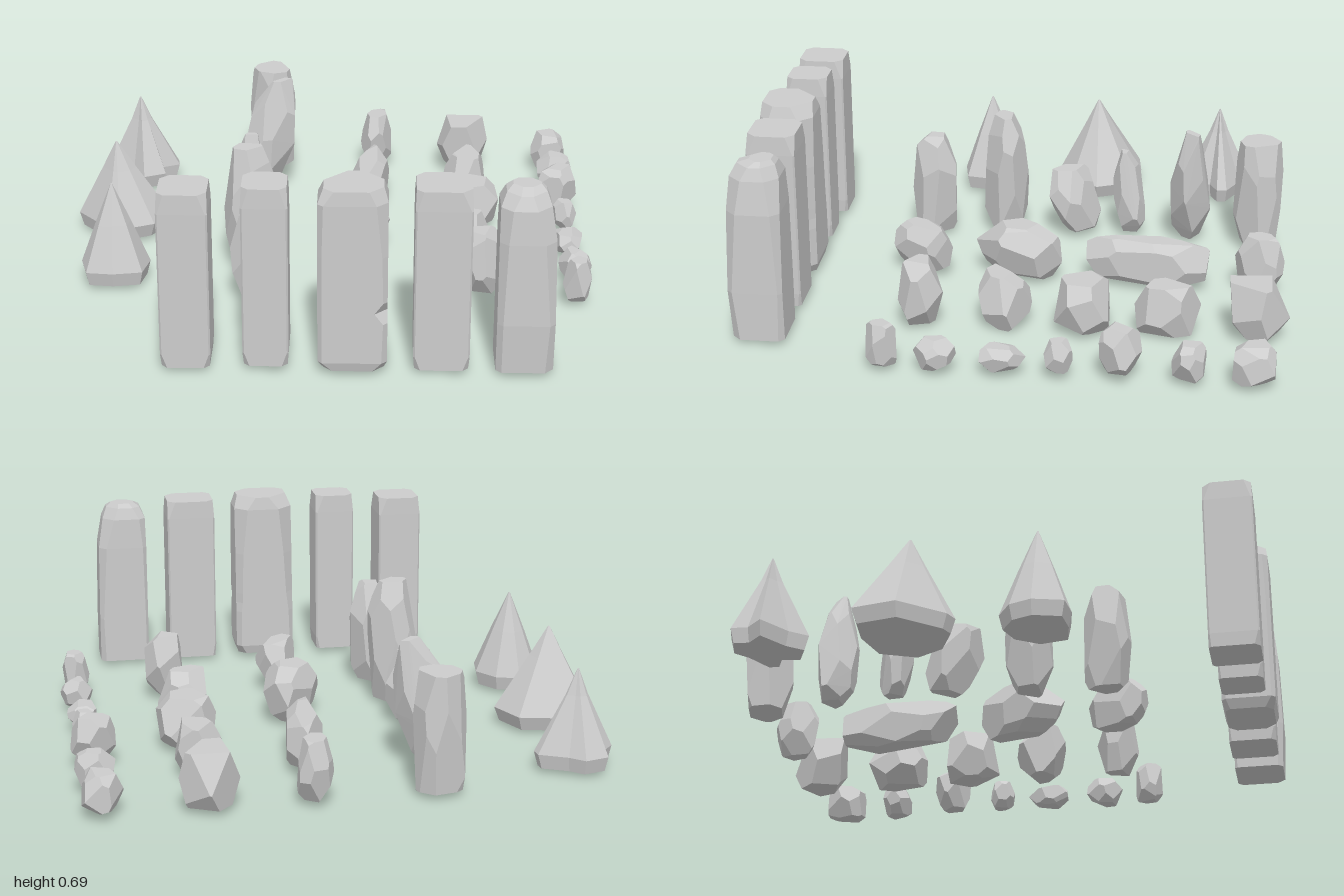
import * as THREE from 'three';
import { ConvexGeometry } from 'three/addons/geometries/ConvexGeometry.js';

const material = new THREE.MeshStandardMaterial({ color: 0xcccccc, flatShading: true });

function seeded(seed) {
  let s = seed * 7919 + 17;
  return () => (s = (s * 16807) % 2147483647) / 2147483647;
}

// Closed solid through a stack of rings (each counter-clockwise from above)
function loft(rings) {
  const out = [];
  const tri = (...p) => p.forEach((v) => out.push(...v));
  const n = rings[0].length;
  const middle = (r) => [0, 1, 2].map((k) => r.reduce((a, p) => a + p[k], 0) / n);
  const top = rings[rings.length - 1];
  for (let i = 0; i < n; i++) {
    const j = (i + 1) % n;
    for (let k = 0; k + 1 < rings.length; k++) {
      const a = rings[k], b = rings[k + 1];
      tri(a[i], a[j], b[j]);
      tri(a[i], b[j], b[i]);
    }
    tri(rings[0][j], rings[0][i], middle(rings[0]));
    tri(top[i], top[j], middle(top));
  }
  const g = new THREE.BufferGeometry();
  g.setAttribute('position', new THREE.Float32BufferAttribute(out, 3));
  g.computeVertexNormals();
  return g;
}

// Rectangle with its corners cut; cuts = front right, back right, back left, front left
function cutRect(y, x0, x1, z0, z1, [fr, br, bl, fl]) {
  return [
    [x1 - fr, y, z1], [x1, y, z1 - fr], [x1, y, z0 + br], [x1 - br, y, z0],
    [x0 + bl, y, z0], [x0, y, z0 + bl], [x0, y, z1 - fl], [x0 + fl, y, z1],
  ];
}

// Faceted boulder: a solid bounded by scattered planes, sheared, tapered, fitted to a box
function boulder(seed, [x0, x1, y0, y1, z0, z1], { planes = 17, flat = 0.88, xy = 0, zy = 0, xz = 0, taper = 0 } = {}) {
  const rand = seeded(seed);
  const cuts = [[new THREE.Vector3(0, 1, 0), flat], [new THREE.Vector3(0, -1, 0), flat]];
  for (let i = 0; i < planes; i++) {
    const y = 1 - (2 * i + 1) / planes, r = Math.sqrt(1 - y * y), a = i * 2.39996 + seed;
    const n = new THREE.Vector3(r * Math.cos(a), y, r * Math.sin(a));
    n.x += (rand() - 0.5) * 0.5;
    n.y += (rand() - 0.5) * 0.5;
    n.z += (rand() - 0.5) * 0.5;
    cuts.push([n.normalize(), 0.9 + rand() * 0.2]);
  }
  // Corners are the plane triples that lie inside every other plane
  const pts = [];
  for (let i = 0; i < cuts.length; i++)
    for (let j = 0; j < i; j++)
      for (let k = 0; k < j; k++) {
        const [a, da] = cuts[i], [b, db] = cuts[j], [c, dc] = cuts[k];
        const bc = b.clone().cross(c), det = a.dot(bc);
        if (Math.abs(det) < 1e-4) continue;
        const p = bc.multiplyScalar(da)
          .addScaledVector(c.clone().cross(a), db)
          .addScaledVector(a.clone().cross(b), dc)
          .divideScalar(det);
        if (cuts.every(([n, d]) => n.dot(p) < d + 1e-6)) pts.push(p);
      }
  for (const p of pts) {
    const s = 1 - taper * p.y;
    p.set(p.x * s + xy * p.y + xz * p.z, p.y, p.z * s + zy * p.y);
  }
  const box = new THREE.Box3().setFromPoints(pts), size = box.getSize(new THREE.Vector3());
  for (const p of pts) {
    p.sub(box.min).divide(size);
    p.set(x0 + p.x * (x1 - x0), y0 + p.y * (y1 - y0), z0 + p.z * (z1 - z0));
  }
  return new ConvexGeometry(pts);
}

export function createModel() {
  const model = new THREE.Group();
  const add = (name, geometry) => {
    const mesh = new THREE.Mesh(geometry, material);
    mesh.name = name;
    model.add(mesh);
  };

  // Standing pillars: [x0, x1, z0, z1, bottom, top, front right and back left cut at the top]
  [
    [-0.56, -0.385, 0.8, 0.98, 0.015, 0.665, 0.03, 0.03],
    [-0.275, -0.115, 0.81, 0.97, 0.02, 0.685, 0.025, 0.03],
    [0.315, 0.51, 0.8, 0.98, 0.015, 0.685, 0.035, 0.03],
  ].forEach(([x0, x1, z0, z1, b, t, f, k]) => add('pillar', loft([
    cutRect(b, x0 + 0.004, x1 - 0.004, z0, z1, [0.02, 0.012, 0.01, 0.02]),
    cutRect(b + 0.05, x0, x1, z0, z1, [0.006, 0.006, 0.006, 0.006]),
    cutRect(t - 0.07, x0, x1, z0, z1, [0.006, 0.006, 0.006, 0.006]),
    cutRect(t, x0 + 0.003, x1 - 0.003, z0 + 0.002, z1 - 0.003, [f, 0.03, k, 0.025]),
  ])));

  // Wide pillar with a chip in its front right edge
  add('chippedPillar', loft([
    cutRect(0.015, 0.005, 0.215, 0.81, 0.99, [0.04, 0.03, 0.02, 0.03]),
    cutRect(0.05, -0.015, 0.225, 0.8, 1, [0.02, 0.02, 0.015, 0.015]),
    cutRect(0.2, -0.015, 0.225, 0.8, 1, [0.015, 0.02, 0.02, 0.015]),
    cutRect(0.24, -0.015, 0.225, 0.8, 1, [0.045, 0.025, 0.025, 0.015]),
    cutRect(0.28, -0.015, 0.225, 0.8, 1, [0.015, 0.025, 0.03, 0.015]),
    cutRect(0.45, -0.015, 0.225, 0.8, 1, [0.02, 0.03, 0.04, 0.015]),
    cutRect(0.64, -0.015, 0.225, 0.8, 1, [0.04, 0.05, 0.06, 0.02]),
    cutRect(0.69, 0.005, 0.21, 0.808, 0.995, [0.05, 0.07, 0.08, 0.035]),
  ]));

  // Pillar worn to a taper on its right side
  add('wornPillar', loft([
    cutRect(0.015, 0.6, 0.8, 0.8, 0.99, [0.03, 0.02, 0.01, 0.02]),
    cutRect(0.2, 0.6, 0.8, 0.8, 1, [0.02, 0.015, 0.01, 0.02]),
    cutRect(0.5, 0.6, 0.795, 0.8, 0.995, [0.04, 0.03, 0.015, 0.03]),
    cutRect(0.62, 0.602, 0.775, 0.805, 0.985, [0.05, 0.045, 0.025, 0.04]),
    cutRect(0.665, 0.622, 0.758, 0.82, 0.96, [0.05, 0.045, 0.03, 0.045]),
    cutRect(0.682, 0.645, 0.74, 0.835, 0.915, [0.03, 0.03, 0.02, 0.03]),
  ]));

  // Pointed rocks: outline seen from above, apex [x, y, z], shoulder height and size
  const star = [[-0.8, -0.845], [-0.89, -0.82], [-0.885, -0.76], [-0.94, -0.7], [-0.83, -0.63], [-0.78, -0.57],
    [-0.695, -0.61], [-0.71, -0.68], [-0.645, -0.71], [-0.65, -0.75], [-0.75, -0.8]];
  const broad = [[-0.84, -0.385], [-0.97, -0.37], [-1, -0.21], [-0.87, -0.06], [-0.82, -0.04], [-0.69, -0.1],
    [-0.63, -0.21], [-0.69, -0.35]];
  const round = [[-0.82, 0.11], [-0.9, 0.16], [-0.93, 0.24], [-0.9, 0.35], [-0.8, 0.36], [-0.69, 0.34],
    [-0.67, 0.23], [-0.73, 0.14]];
  [
    ['jaggedPeak', star, [-0.8, 0.375, -0.71], 0.28, 0.28],
    ['broadPeak', broad, [-0.84, 0.38, -0.2], 0.27, 0.36],
    ['roundPeak', round, [-0.805, 0.392, 0.245], 0.24, 0.5],
  ].forEach(([name, outline, [ax, ay, az], sy, ss]) => {
    const ring = (y, s) => outline.map(([x, z]) => [ax + (x - ax) * s, y, az + (z - az) * s]);
    add(name, loft([ring(0.015, 0.9), ring(0.07, 1), ring(sy, ss), ring(ay, 0.02)]));
  });

  // Tall rocks
  [
    [[-0.35, -0.16, 0.02, 0.45, -0.97, -0.78], { flat: 0.6 }],
    [[-0.38, -0.15, 0.02, 0.49, -0.69, -0.53], { xy: 0.5, flat: 1, taper: 0.25 }],
    [[-0.385, -0.25, 0.02, 0.36, -0.43, -0.3], { zy: 0.25, flat: 1, taper: 0.2 }],
    [[-0.395, -0.22, 0.02, 0.28, -0.25, -0.05], { xz: 0.5, zy: 0.5 }],
    [[-0.395, -0.2, 0.015, 0.5, 0.04, 0.215], {}],
    [[-0.35, -0.18, 0.015, 0.42, 0.32, 0.5], {}],
  ].forEach(([box, shape], i) => add('tallRock', boulder(i + 1, box, { planes: 20, ...shape })));

  // Long lying rocks
  [
    [[0.12, 0.25, 0.02, 0.24, -0.98, -0.795], { xz: -0.2 }],
    [[0.075, 0.24, 0.02, 0.19, -0.7, -0.23], { xz: -0.45 }],
    [[0.005, 0.24, 0.015, 0.215, -0.14, 0.2], { xz: -0.35 }],
    [[0.04, 0.21, 0.02, 0.2, 0.28, 0.515], { xz: -0.5 }],
  ].forEach(([box, shape], i) => add('longRock', boulder(i + 11, box, { planes: 20, ...shape })));

  // Boulders
  [
    [0.445, 0.66, 0.02, 0.22, -1, -0.78],
    [0.455, 0.635, 0.01, 0.2, -0.68, -0.44],
    [0.45, 0.67, 0.015, 0.205, -0.35, -0.15],
    [0.455, 0.64, 0, 0.205, -0.065, 0.13],
    [0.51, 0.66, 0.015, 0.26, 0.25, 0.42],
  ].forEach((box, i) => add('boulder', boulder(i + 21, box, { planes: i ? 15 : 11, flat: i ? 0.88 : 0.7 })));

  // Small stones
  [
    [0.845, 0.99, 0.02, 0.16, -0.95, -0.8],
    [0.855, 1, 0.025, 0.155, -0.71, -0.59],
    [0.835, 1, 0.03, 0.2, -0.49, -0.34],
    [0.88, 0.98, 0.03, 0.145, -0.25, -0.15],
    [0.875, 0.99, 0.025, 0.105, -0.085, 0.08],
    [0.875, 1, 0.02, 0.13, 0.16, 0.31],
    [0.875, 0.98, 0.02, 0.18, 0.365, 0.475],
  ].forEach((box, i) => add('smallStone', boulder(i + 31, box)));

  return model;
}
